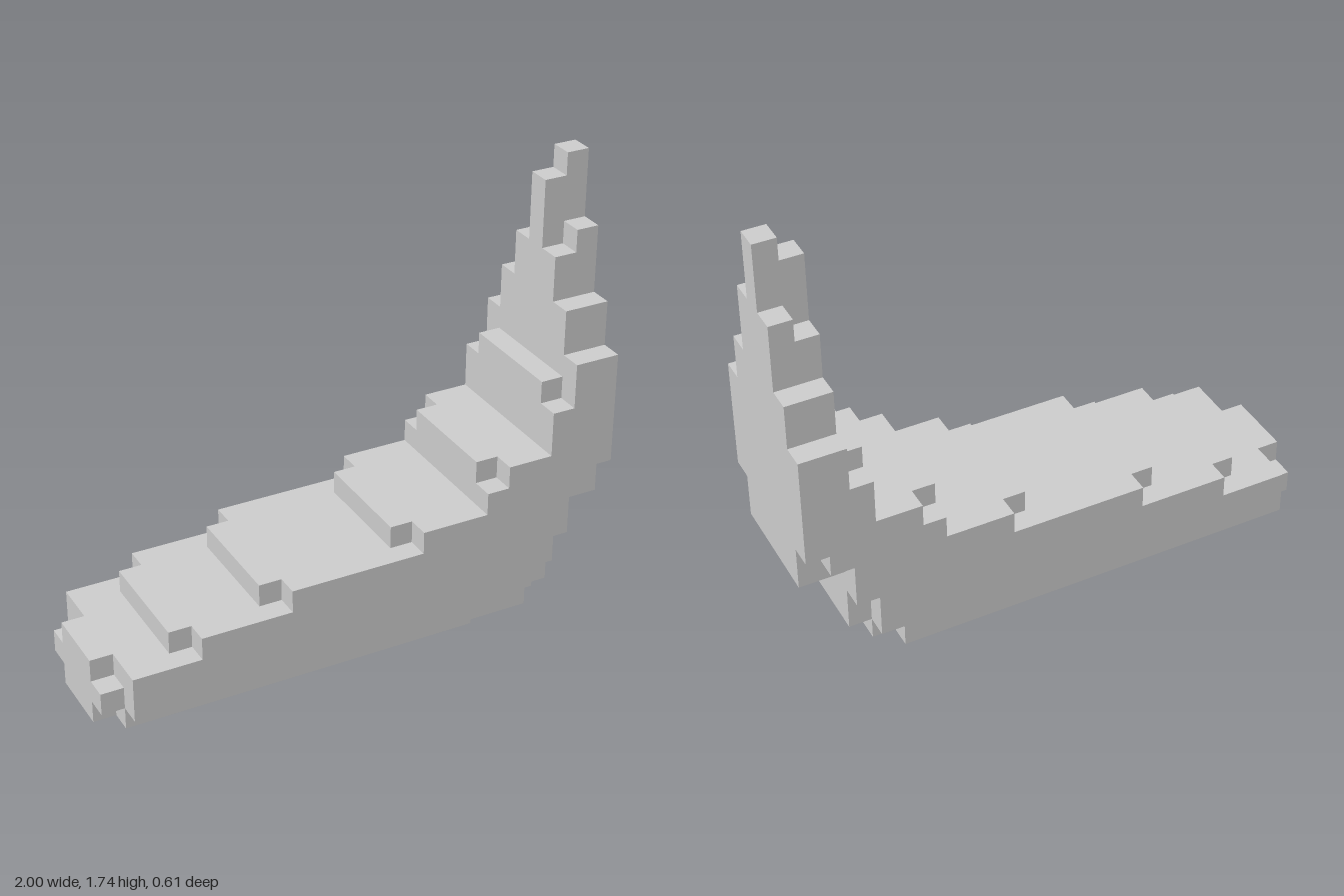
import * as THREE from 'three';

// One block of the grid: 23 blocks span the 2-unit length
const U = 2 / 23;

// Stepped outline from runs of [startX, bottom, top] in blocks, closed at endX
function steppedShape(runs, endX) {
  const lower = [], upper = [];
  runs.forEach(([x, bottom, top], i) => {
    const next = i + 1 < runs.length ? runs[i + 1][0] : endX;
    lower.push([x, bottom], [next, bottom]);
    upper.push([x, top], [next, top]);
  });
  const points = [...lower, ...upper.reverse()];
  return new THREE.Shape(points.map(([x, y]) => new THREE.Vector2(x * U - 1, y * U)));
}

export function createModel() {
  const group = new THREE.Group();
  const material = new THREE.MeshStandardMaterial({ color: 0xcccccc, flatShading: true });

  // Slice of the body, centred on z (in blocks)
  function addSlice(name, runs, width, z) {
    const geometry = new THREE.ExtrudeGeometry(steppedShape(runs, 23), {
      depth: width * U, bevelEnabled: false,
    });
    geometry.translate(0, 0, (z - width / 2) * U);
    const mesh = new THREE.Mesh(geometry, material);
    mesh.name = name;
    group.add(mesh);
  }

  // Stepped back and curved-up underside shared by the inner slices
  const innerRuns = [
    [1, 0, 3], [3, 0, 4], [7, 0, 5], [13, 0, 6], [17, 1, 8], [20, 2, 11],
  ];

  // Central body, three blocks wide, rising into the upright
  addSlice('core', [[0, 0, 3], ...innerRuns, [21, 5, 16], [22, 5, 17]], 3, 0);

  // Single-block point at the top of the upright
  addSlice('uprightTip', [[21, 16, 19], [22, 17, 20]], 1, 0);

  for (const [side, s] of [['front', 1], ['back', -1]]) {
    // Middle slices, with the blunt end notched
    addSlice(side + 'MiddleSlice', [[0, 1, 2], ...innerRuns, [21, 5, 14]], 1, 2 * s);

    // Outer slices, with every step set in by one block
    addSlice(side + 'OuterSlice', [
      [1, 1, 3], [4, 1, 4], [8, 1, 5], [14, 1, 6], [17, 1, 7], [18, 1, 8],
      [19, 2, 8], [20, 4, 10], [21, 6, 12], [22, 7, 12],
    ], 1, 3 * s);
  }
  return group;
}
